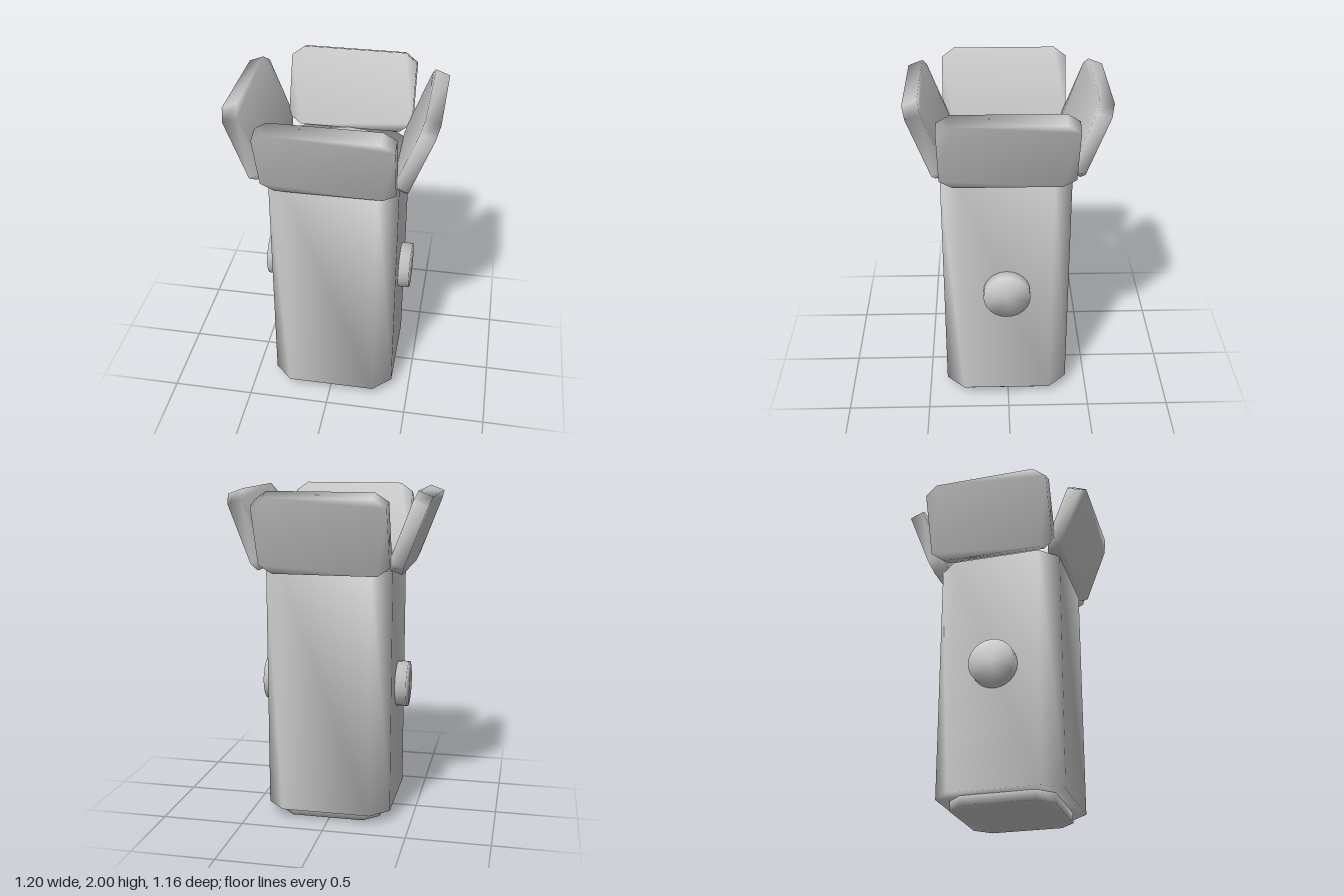
import * as THREE from 'three';
import { mergeVertices } from 'three/addons/utils/BufferGeometryUtils.js';

const material = new THREE.MeshStandardMaterial({ color: 0xcccccc });

// Welds shared corners so the shading runs smoothly over the edges
function weld(geometry) {
  geometry.deleteAttribute('uv');
  geometry.deleteAttribute('normal');
  const welded = mergeVertices(geometry, 1e-4);
  welded.computeVertexNormals();
  return welded;
}

function addMesh(parent, name, geometry) {
  const mesh = new THREE.Mesh(weld(geometry), material);
  mesh.name = name;
  parent.add(mesh);
  return mesh;
}

// Plate with a rectangular outline and cut corners, extruded along +z
function cutCornerPlate(halfW, halfH, cutW, cutH, depth) {
  const points = [
    [halfW, halfH - cutH], [halfW - cutW, halfH],
    [-halfW + cutW, halfH], [-halfW, halfH - cutH],
    [-halfW, -halfH + cutH], [-halfW + cutW, -halfH],
    [halfW - cutW, -halfH], [halfW, -halfH + cutH],
  ].map(([x, y]) => new THREE.Vector2(x, y));
  return new THREE.ExtrudeGeometry(new THREE.Shape(points), { depth, bevelEnabled: false });
}

export function createModel() {
  const model = new THREE.Group();
  model.name = 'flaredCanister';
  const centre = 0.01;

  // Upright body and the smaller foot below it
  const column = (name, half, cut, bottom, top) => {
    const geometry = cutCornerPlate(half, half, cut, cut, top - bottom).rotateX(-Math.PI / 2);
    addMesh(model, name, geometry).position.set(centre, bottom, centre);
  };
  column('body', 0.38, 0.11, 0.06, 1.54);
  column('foot', 0.31, 0.09, 0, 0.07);

  // Round lid on top of the body
  addMesh(model, 'lid', new THREE.CylinderGeometry(0.318, 0.328, 0.04, 20))
    .position.set(centre, 1.545, 0);

  // Round knobs on both sides
  for (const [name, side] of [['leftKnob', 1], ['rightKnob', -1]]) {
    addMesh(model, name, new THREE.CylinderGeometry(0.14, 0.14, 0.12, 24).rotateZ(-side * Math.PI / 2))
      .position.set(centre + side * 0.388, 0.8, centre);
  }

  // Four flaps leaning outward around the rim
  const length = 0.476, thickness = 0.09, tilt = 0.365;
  ['frontFlap', 'leftFlap', 'backFlap', 'rightFlap'].forEach((name, i) => {
    const flap = cutCornerPlate(0.383, length / 2, 0.075, 0.055, thickness)
      .translate(0, length / 2, -thickness)
      .rotateX(tilt)
      .translate(0.005, 1.525, i % 2 ? 0.43 : 0.41);
    // Keep the sideways offset towards +x or +z on every flap
    if (i === 1 || i === 2) flap.translate(-0.01, 0, 0);
    addMesh(model, name, flap.rotateY(i * Math.PI / 2));
  });

  return model;
}
